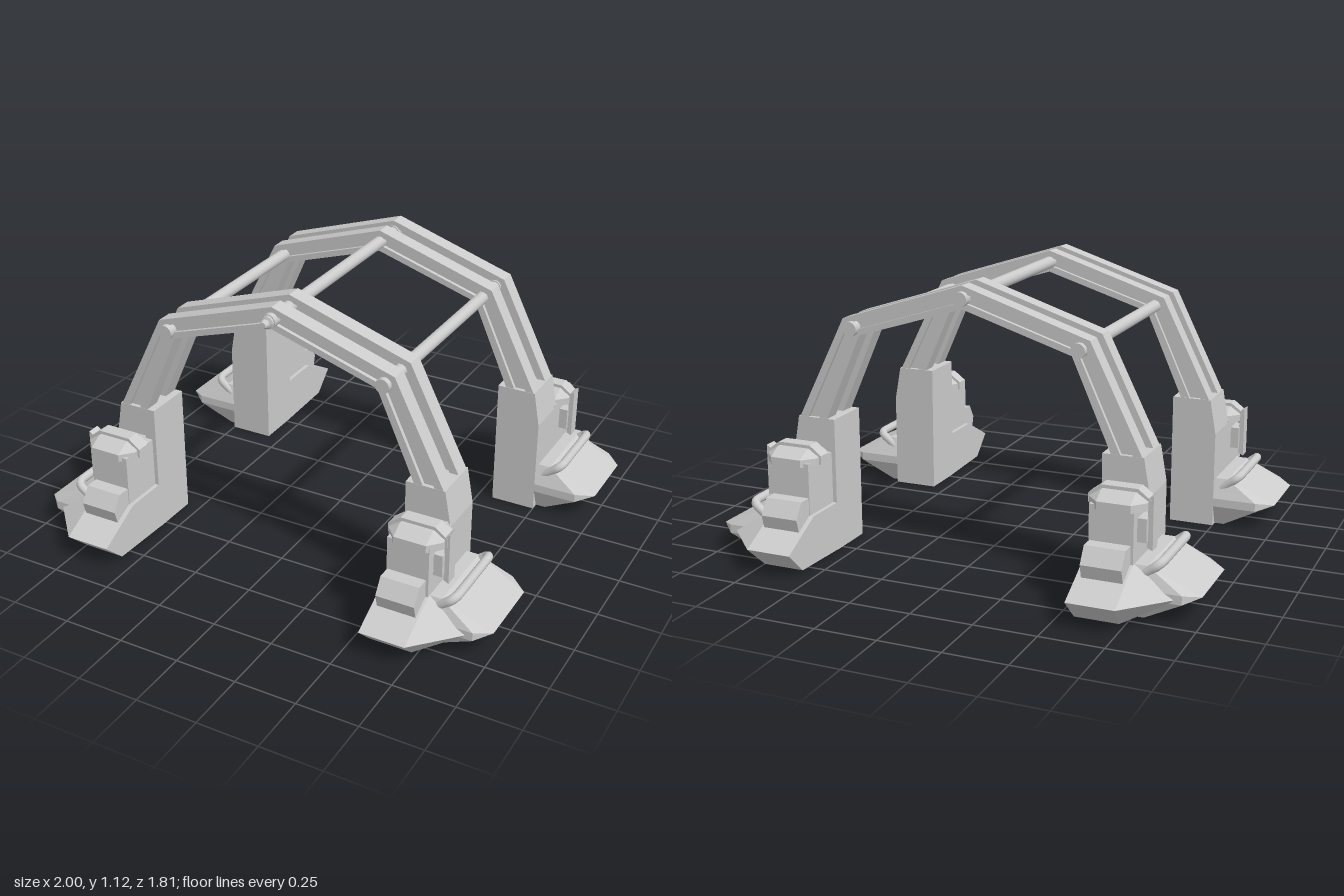
import * as THREE from 'three';
import { ConvexGeometry } from 'three/addons/geometries/ConvexGeometry.js';

const flat = new THREE.MeshStandardMaterial({ color: 0xcccccc, flatShading: true });
const smooth = new THREE.MeshStandardMaterial({ color: 0xcccccc });

function add(parent, name, geometry, material = flat) {
  const mesh = new THREE.Mesh(geometry, material);
  mesh.name = name;
  parent.add(mesh);
  return mesh;
}

// Box given by its limits on each axis
function box(x0, x1, y0, y1, z0, z1) {
  return new THREE.BoxGeometry(x1 - x0, y1 - y0, z1 - z0)
    .translate((x0 + x1) / 2, (y0 + y1) / 2, (z0 + z1) / 2);
}

const hull = (points) => new ConvexGeometry(points.map((p) => new THREE.Vector3(...p)));

// Prism along x from a [z, y] profile
function prismX(profile, x0, x1) {
  return hull(profile.flatMap(([z, y]) => [[x0, y, z], [x1, y, z]]));
}

// Mirrored copy of a geometry, keeping faces pointing outward
function mirrored(geometry, sx, sz) {
  const g = geometry.index ? geometry.toNonIndexed() : geometry.clone();
  g.scale(sx, 1, sz);
  if (sx * sz < 0) {
    for (const attribute of Object.values(g.attributes)) {
      const n = attribute.itemSize;
      for (let i = 0; i < attribute.count; i += 3) {
        for (let k = 0; k < n; k++) {
          const a = attribute.array[(i + 1) * n + k];
          attribute.array[(i + 1) * n + k] = attribute.array[(i + 2) * n + k];
          attribute.array[(i + 2) * n + k] = a;
        }
      }
    }
  }
  return g;
}

// Arch band between two fractions of the beam depth
const OUTER = [[0.722, 0.535], [0.51, 0.96], [0, 1.125]];
const INNER = [[0.6, 0.535], [0.44, 0.897], [0, 1.035]];
function archBand(t0, t1, z0, z1) {
  const line = (t) => {
    const half = OUTER.map(([x, y], i) => new THREE.Vector2(
      x + (INNER[i][0] - x) * t, y + (INNER[i][1] - y) * t));
    const other = half.slice(0, 2).reverse().map((p) => new THREE.Vector2(-p.x, p.y));
    return [...half, ...other];
  };
  const shape = new THREE.Shape([...line(t0), ...line(t1).reverse()]);
  return new THREE.ExtrudeGeometry(shape, { depth: z1 - z0, bevelEnabled: false })
    .translate(0, 0, z0);
}

// Parts of the front left leg
function legParts() {
  const parts = [];
  const part = (name, geometry, material = flat) => parts.push({ name, geometry, material });

  // Upright post, outer face leaning slightly outward
  part('legPost', hull([0.335, 0.535].flatMap((z) => [
    [0.563, 0, z], [0.563, 0.545, z], [0.724, 0.545, z], [0.75, 0.4, z], [0.75, 0, z]])));

  // Pointed toe
  part('footToe', hull([
    [0.563, 0.1, 0.905], [0.75, 0.1, 0.905], [0.925, 0.1, 0.72], [0.925, 0.1, 0.6],
    [0.563, 0.2, 0.715], [0.75, 0.2, 0.715], [0.563, 0.2, 0.5], [0.75, 0.2, 0.5],
    [0.563, 0.01, 0.81], [0.735, 0.01, 0.81], [0.563, 0, 0.5], [0.75, 0, 0.5]]));

  // Wedge along the outer side
  part('footSide', hull([
    [0.7, 0.085, 0.335], [0.93, 0.085, 0.335], [0.7, 0.12, 0.335], [0.93, 0.12, 0.335],
    [1, 0.105, 0.39], [1, 0.105, 0.68],
    [0.94, 0.085, 0.735], [0.94, 0.12, 0.735], [0.7, 0.12, 0.735], [0.7, 0.085, 0.735],
    [0.7, 0.2, 0.37], [0.8, 0.2, 0.37], [0.8, 0.2, 0.7], [0.7, 0.2, 0.7],
    [0.7, 0, 0.37], [0.79, 0, 0.37], [0.79, 0, 0.7], [0.7, 0, 0.7]]));

  // Bent grab bar over the side wedge
  const path = new THREE.CurvePath();
  const P = [[0.77, 0.155, 0.37], [0.825, 0.197, 0.37], [0.85, 0.217, 0.37], [0.85, 0.217, 0.41],
    [0.85, 0.217, 0.66], [0.85, 0.217, 0.7], [0.825, 0.197, 0.7], [0.77, 0.155, 0.7]]
    .map((p) => new THREE.Vector3(...p));
  path.add(new THREE.LineCurve3(P[0], P[1]));
  path.add(new THREE.QuadraticBezierCurve3(P[1], P[2], P[3]));
  path.add(new THREE.LineCurve3(P[3], P[4]));
  path.add(new THREE.QuadraticBezierCurve3(P[4], P[5], P[6]));
  path.add(new THREE.LineCurve3(P[6], P[7]));
  part('grabBar', new THREE.TubeGeometry(path, 48, 0.018, 10), smooth);

  // Motor housing in front of the post
  part('motorHousing', box(0.58, 0.75, 0.15, 0.41, 0.52, 0.715));

  // Faceted cap with a raised strap
  part('motorCap', hull([
    ...[0.395, 0.425].flatMap((y) => [
      [0.61, y, 0.54], [0.74, y, 0.54], [0.785, y, 0.585], [0.785, y, 0.675],
      [0.74, y, 0.725], [0.61, y, 0.725], [0.565, y, 0.675], [0.565, y, 0.585]]),
    ...[0.61, 0.74].flatMap((x) => [[x, 0.455, 0.59], [x, 0.455, 0.675]])]));
  part('capStrap', hull([0.602, 0.658].flatMap((z) => [
    [0.555, 0.395, z], [0.795, 0.395, z], [0.795, 0.43, z], [0.745, 0.468, z],
    [0.605, 0.468, z], [0.555, 0.43, z]])));

  // Side bracket and its thin clip
  part('sideBracket', box(0.74, 0.785, 0.275, 0.365, 0.585, 0.675));
  part('sideClip', hull([0.602, 0.655].flatMap((z) => [
    [0.782, 0.25, z], [0.803, 0.24, z], [0.803, 0.448, z], [0.782, 0.435, z]])));

  // Angled block above the toe
  part('toeBlock', prismX([[0.7, 0.272], [0.77, 0.272], [0.81, 0.21], [0.795, 0.155], [0.7, 0.155]],
    0.583, 0.74));
  return parts;
}

export function createModel() {
  const model = new THREE.Group();
  model.name = 'walkerFrame';

  // Four mirrored legs
  const parts = legParts();
  for (const sx of [1, -1]) {
    for (const sz of [1, -1]) {
      const leg = new THREE.Group();
      leg.name = `${sz > 0 ? 'front' : 'back'}${sx > 0 ? 'Left' : 'Right'}Leg`;
      for (const { name, geometry, material } of parts) {
        add(leg, name, mirrored(geometry, sx, sz), material);
      }
      model.add(leg);
    }
  }

  // Paired arches at each end: flanges with a recessed web
  for (const z of [0.5, 0.371, -0.371, -0.5]) {
    const arch = new THREE.Group();
    arch.name = 'archBeam';
    add(arch, 'outerFlange', archBand(0, 0.3, z - 0.034, z + 0.034));
    add(arch, 'web', archBand(0.3, 0.7, z - 0.018, z + 0.018));
    add(arch, 'innerFlange', archBand(0.7, 1, z - 0.034, z + 0.034));
    model.add(arch);
  }

  // Cross rods with end collars
  for (const [x, y] of [[-0.47, 0.923], [0, 1.075], [0.47, 0.923]]) {
    const rod = new THREE.Group();
    rod.name = 'crossRod';
    rod.position.set(x, y, 0);
    add(rod, 'shaft', new THREE.CylinderGeometry(0.025, 0.025, 1.08, 16).rotateX(Math.PI / 2), smooth);
    for (const s of [1, -1]) {
      add(rod, 'collar', new THREE.CylinderGeometry(0.029, 0.029, 0.1, 16)
        .rotateX(Math.PI / 2).translate(0, 0, s * 0.507), smooth);
    }
    model.add(rod);
  }

  // Fitting on the front end of the top rod
  const nozzle = [[0, 0.55], [0.025, 0.55], [0.025, 0.566], [0.014, 0.57], [0.02, 0.58], [0.012, 0.597], [0, 0.597]]
    .map(([r, h]) => new THREE.Vector2(r, h));
  add(model, 'rodFitting', new THREE.LatheGeometry(nozzle, 12).rotateX(Math.PI / 2))
    .position.set(0, 1.075, 0);

  return model;
}
